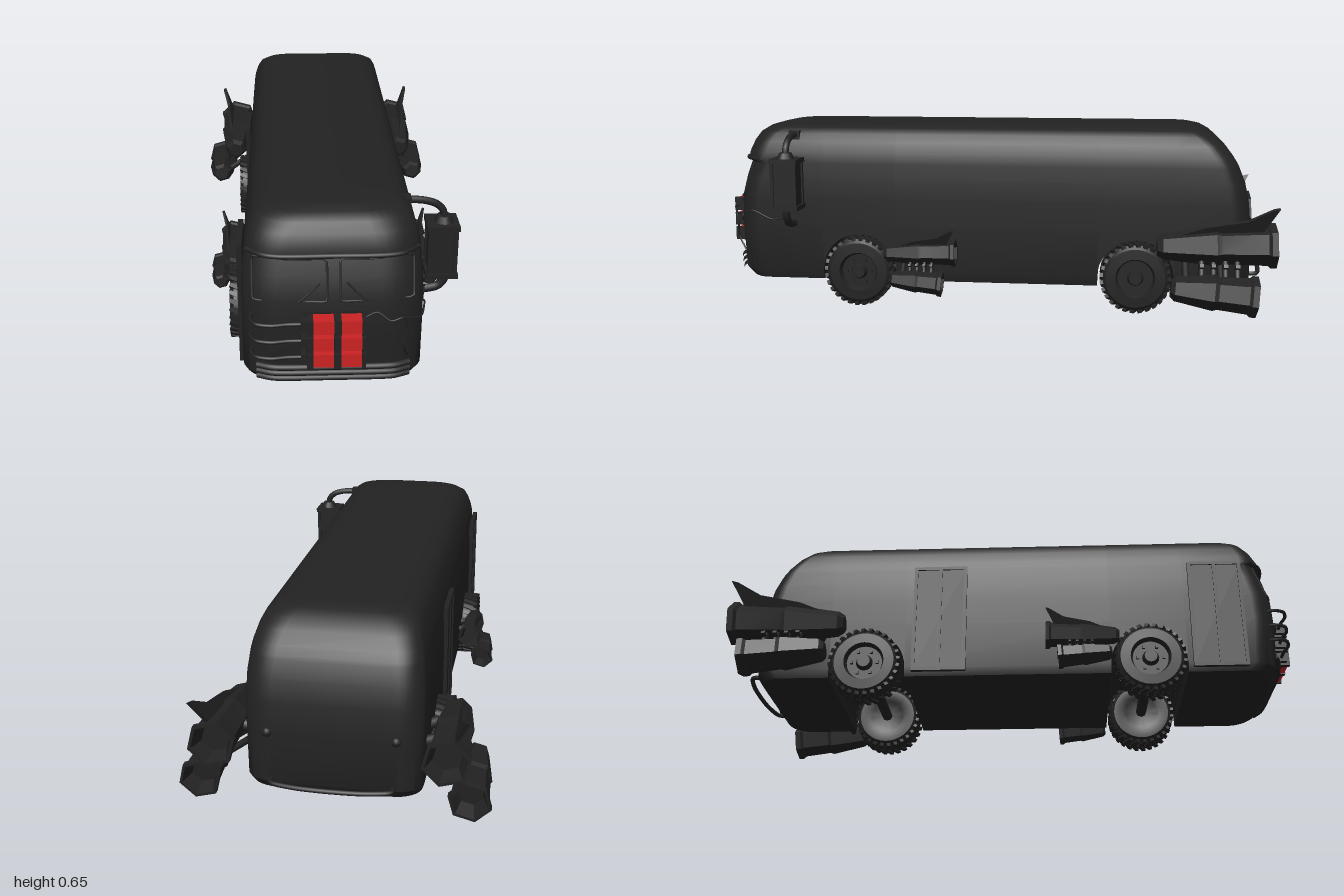
import * as THREE from 'three';
import { toCreasedNormals } from 'three/addons/utils/BufferGeometryUtils.js';

const black = new THREE.MeshStandardMaterial({ color: 0x222222 });
black.name = 'matte black';
const red = new THREE.MeshStandardMaterial({ color: 0xcc2222 });
red.name = 'red';

const V = (x, y, z) => new THREE.Vector3(x, y, z);

function add(parent, name, geo, x = 0, y = 0, z = 0, mat = black) {
  const m = new THREE.Mesh(geo, mat);
  m.name = name;
  m.position.set(x, y, z);
  parent.add(m);
  return m;
}
const box = (w, h, d) => new THREE.BoxGeometry(w, h, d);
function tube(parent, name, pts, r, closed = false, tension = 0.4) {
  const curve = new THREE.CatmullRomCurve3(pts, closed, 'catmullrom', tension);
  return add(parent, name, new THREE.TubeGeometry(curve, pts.length * 6, r, 7, closed));
}
// straight round bar between two points
function bar(parent, name, a, b, r) {
  const g = new THREE.CylinderGeometry(r, r, a.distanceTo(b), 8);
  const m = add(parent, name, g);
  m.position.copy(a).lerp(b, 0.5);
  m.quaternion.setFromUnitVectors(V(0, 1, 0), b.clone().sub(a).normalize());
}

// horizontal body rings: height, half width, front z, back z
const RINGS = [
  [0.10, 0.272, 0.90, -0.915], [0.13, 0.28, 0.925, -0.935], [0.30, 0.28, 0.935, -0.935],
  [0.40, 0.28, 0.93, -0.925], [0.47, 0.277, 0.912, -0.91], [0.525, 0.271, 0.893, -0.888],
  [0.535, 0.27, 0.905, -0.883], [0.56, 0.265, 0.902, -0.868], [0.60, 0.253, 0.885, -0.838],
  [0.63, 0.238, 0.865, -0.805], [0.65, 0.213, 0.835, -0.77], [0.66, 0.175, 0.79, -0.735],
];
const AXLES = [0.467, -0.53], ARCH = 0.134, HUB_Y = 0.135;
const FRX = 0.13, FRZ = 0.09;

// z of the front skin at a point
function frontZ(x, y) {
  let i = 0;
  while (i < RINGS.length - 2 && RINGS[i + 1][0] < y) i++;
  const [a, b] = [RINGS[i], RINGS[i + 1]], t = (y - a[0]) / (b[0] - a[0]);
  const hw = a[1] + (b[1] - a[1]) * t, zf = a[2] + (b[2] - a[2]) * t;
  const k = Math.min(1, Math.max(0, (Math.abs(x) - hw + FRX) / FRX));
  return zf - FRZ + FRZ * Math.sqrt(1 - k * k);
}
const onFront = (x, y, off = 0.002) => V(x, y, frontZ(x, y) + off);

// body shell: stacked rounded rings, lower edge lifted over the wheel arches
function bodyGeometry() {
  const archY = (z) => {
    const d = Math.min(...AXLES.map((c) => Math.abs(z - c)));
    return d <= ARCH + 1e-6 ? HUB_Y + Math.sqrt(Math.max(0, ARCH * ARCH - d * d)) : 0;
  };
  const sideZ = [];
  for (const c of AXLES) {
    sideZ.push(c + ARCH + 0.0005);
    for (let k = 0; k <= 20; k++) sideZ.push(c + ARCH * Math.cos(k * Math.PI / 20));
    sideZ.push(c - ARCH - 0.0005);
  }
  const pos = [], idx = [];
  let m = 0;
  for (const [y, hw, zf, zb] of RINGS) {
    const half = [];
    for (let k = 0; k <= 8; k++) {
      const a = Math.PI / 2 * (1 - k / 8);
      half.push([hw - FRX + FRX * Math.cos(a), zf - FRZ + FRZ * Math.sin(a)]);
    }
    for (const z of sideZ) half.push([hw, z]);
    for (let k = 0; k <= 8; k++) {
      const a = Math.PI / 2 * k / 8;
      half.push([hw - 0.09 + 0.09 * Math.cos(a), zb + 0.069 - 0.069 * Math.sin(a)]);
    }
    const loop = [...half, ...half.map(([x, z]) => [-x, z]).reverse()];
    m = loop.length;
    for (const [x, z] of loop) pos.push(x, Math.max(y, archY(z)), z);
  }
  const last = (RINGS.length - 1) * m;
  for (let j = 0; j < RINGS.length - 1; j++) {
    for (let k = 0; k < m; k++) {
      const a = j * m + k, b = j * m + (k + 1) % m;
      idx.push(a, b, b + m, a, b + m, a + m);
    }
  }
  for (let k = 0; k < m / 2 - 1; k++) {
    const p = k, q = k + 1, n = m - 1 - k, o = m - 2 - k;
    idx.push(n, q, p, n, o, q);
    idx.push(last + n, last + p, last + q, last + n, last + q, last + o);
  }
  const g = new THREE.BufferGeometry();
  g.setAttribute('position', new THREE.Float32BufferAttribute(pos, 3));
  g.setIndex(idx);
  return toCreasedNormals(g, 0.6);
}

function wheel(parent, x, z) {
  const g = new THREE.Group();
  g.name = 'wheel';
  const s = Math.sign(x);
  const prof = [[0.0, -0.05], [0.06, -0.05], [0.07, -0.055], [0.105, -0.053], [0.118, -0.04], [0.119, 0.04],
    [0.105, 0.053], [0.07, 0.055], [0.062, 0.035], [0.0, 0.035]].map(([r, y]) => new THREE.Vector2(r, y));
  add(g, 'tire', toCreasedNormals(new THREE.LatheGeometry(prof, 40).rotateZ(-s * Math.PI / 2), 0.6));
  add(g, 'hub', new THREE.CylinderGeometry(0.022, 0.03, 0.02, 16).rotateZ(-s * Math.PI / 2), s * 0.044);
  for (let k = 0; k < 6; k++) {
    const a = k * Math.PI / 3;
    add(g, 'wheel bolt', box(0.012, 0.01, 0.01), s * 0.038, 0.045 * Math.sin(a), 0.045 * Math.cos(a));
  }
  // chevron tread
  for (let k = 0; k < 28; k++) {
    for (const h of [-1, 1]) {
      const b = box(0.056, 0.012, 0.014).rotateY(h * 0.4).translate(h * 0.026, 0.119, 0);
      add(g, 'tread block', b.rotateX(k * Math.PI / 14));
    }
  }
  g.position.set(x, HUB_Y, z);
  parent.add(g);
}

// hexagonal thruster: rear rim at z = 0, nose at z = len
function thruster(parent, name, r, rNose, len, x, y, z) {
  const prof = [[0, 0.05], [r * 0.6, 0.05], [r * 0.86, 0], [r, 0], [r, 0.02], [r * 0.88, 0.03], [r * 0.8, len * 0.45],
    [r * 0.88, len * 0.5], [rNose, len * 0.95], [rNose * 0.7, len], [0, len]].map((p) => new THREE.Vector2(...p));
  const g = new THREE.LatheGeometry(prof, 6).rotateX(Math.PI / 2).rotateZ(0.25 * Math.sign(x || 1));
  return add(parent, name, toCreasedNormals(g, 0.3), x, y, z);
}

function booster(parent, s, x, y, z, size) {
  const g = new THREE.Group();
  g.name = 'booster';
  thruster(g, 'upper thruster', 0.078, 0.045, 0.4, 0, 0, 0).rotation.x = 0.03;
  thruster(g, 'lower thruster', 0.07, 0.042, 0.29, s * 0.068, -0.165, 0.065).rotation.x = -0.08;
  // swept fin
  const fin = new THREE.Shape([[0.34, 0.03], [0.05, 0.05], [0.0, 0.15], [0.02, 0.145], [0.1, 0.098], [0.24, 0.07]]
    .map((p) => new THREE.Vector2(...p)));
  const fg = new THREE.ExtrudeGeometry(fin, { depth: 0.012, bevelEnabled: false });
  add(g, 'fin', fg.translate(0, 0, -0.006).rotateY(-Math.PI / 2).rotateZ(-s * 0.42));
  // struts between the thrusters, and mounts to the body
  for (let k = 0; k < 4; k++) {
    const zz = 0.13 + k * 0.04;
    bar(g, 'strut', V(s * 0.01, -0.03, zz), V(s * 0.065, -0.15, zz), 0.011);
    add(g, 'cooling rib', box(0.05, 0.012, 0.014), s * 0.035, -0.075, zz).rotation.z = s * 0.5;
  }
  for (const zz of [0.18, 0.3]) {
    bar(g, 'mount', V(0, 0, zz), V(-s * 0.09, -0.03, zz), 0.02);
    bar(g, 'lower mount', V(s * 0.06, -0.16, zz), V(-s * 0.08, -0.06, zz), 0.012);
  }
  g.scale.setScalar(size);
  g.position.set(s * x, y, z);
  parent.add(g);
}

export function createModel() {
  const bus = new THREE.Group();
  bus.name = 'armoured bus';
  add(bus, 'body', bodyGeometry());

  for (const z of AXLES) {
    wheel(bus, -0.282, z);
    wheel(bus, 0.248, z);
    bar(bus, 'axle', V(-0.27, HUB_Y, z), V(0.24, HUB_Y, z), 0.02);
  }
  for (const s of [-1, 1]) {
    booster(bus, s, 0.358, 0.278, -1, 1);
    booster(bus, s, 0.335, 0.222, 0.105, 0.64);
    // windscreen frame, wiper, headlight and tail light
    const cx = s * 0.132, c = [[-0.112, 0.41], [-0.1, 0.398], [0.1, 0.398], [0.112, 0.41], [0.112, 0.515],
      [0.1, 0.524], [0, 0.524], [-0.1, 0.524], [-0.112, 0.515]];
    tube(bus, 'windscreen frame', c.map(([x, y]) => onFront(cx + x, y)), 0.004, true, 0.2);
    tube(bus, 'wiper', [onFront(s * 0.105, 0.398), onFront(s * 0.07, 0.425), onFront(s * 0.04, 0.455)], 0.003);
    add(bus, 'headlight', new THREE.CylinderGeometry(0.018, 0.02, 0.012, 20).rotateX(Math.PI / 2),
      s * 0.17, 0.312, frontZ(0.17, 0.312));
    add(bus, 'tail light', new THREE.SphereGeometry(0.016, 12, 8), s * 0.2, 0.3, -0.93);
  }

  // visor ridge and slatted front bumper
  const across = (w, y, off) => [-1, -0.8, -0.55, 0, 0.55, 0.8, 1].map((t) => onFront(t * w, y, off));
  tube(bus, 'visor', across(0.262, 0.538, 0.001), 0.008);
  for (const y of [0.128, 0.148, 0.168]) tube(bus, 'bumper slat', across(0.235, y, 0.006), 0.0105);
  // rear bar
  tube(bus, 'rear bar', [V(-0.19, 0.14, -0.92), V(-0.185, 0.14, -0.96), V(-0.1, 0.14, -0.978), V(0, 0.14, -0.982),
    V(0.1, 0.14, -0.978), V(0.185, 0.14, -0.96), V(0.19, 0.14, -0.92)], 0.008);

  // doors on the right side
  for (const z of [-0.275, 0.715]) {
    const door = new THREE.Group();
    door.name = 'door';
    add(door, 'door panel', box(0.012, 0.41, 0.19), -0.282, 0.32, z);
    for (const d of [-0.09, 0, 0.09]) add(door, 'door rail', box(0.012, 0.41, 0.012), -0.287, 0.32, z + d);
    for (const y of [0.12, 0.52]) add(door, 'door rail', box(0.012, 0.012, 0.19), -0.287, y, z);
    bus.add(door);
  }

  // red canister pack with feed pipes
  const pack = new THREE.Group();
  pack.name = 'canister pack';
  add(pack, 'back plate', box(0.19, 0.175, 0.02), 0.002, 0.284, 0.935);
  for (const y of [0.342, 0.284, 0.227]) {
    for (const x of [-0.032, 0.052]) add(pack, 'canister', box(0.062, 0.044, 0.05), x, y, 0.967, red);
    add(pack, 'centre band', box(0.022, 0.05, 0.056), 0.01, y, 0.968);
    add(pack, 'end cap', box(0.012, 0.05, 0.058), 0.089, y, 0.969);
    add(pack, 'end cap', box(0.02, 0.05, 0.058), -0.073, y, 0.969);
    add(pack, 'pipe collar', box(0.02, 0.034, 0.036), -0.09, y, 0.966);
    tube(pack, 'feed pipe', [V(-0.24, y, 0.885), V(-0.253, y, 0.925), V(-0.235, y, 0.96), V(-0.19, y, 0.972),
      V(-0.14, y, 0.966), V(-0.09, y, 0.966)], 0.006);
  }
  bus.add(pack);

  // loose cables
  tube(bus, 'cable', [V(0.09, 0.36, 0.965), onFront(0.13, 0.37, 0.02), onFront(0.17, 0.345, 0.03), onFront(0.21, 0.35, 0.03),
    onFront(0.225, 0.3, 0.02), onFront(0.215, 0.24, 0.02), onFront(0.23, 0.19, 0)], 0.003);
  tube(bus, 'cable', [onFront(0.21, 0.35, 0.03), V(0.265, 0.335, 0.92), V(0.283, 0.35, 0.86), V(0.287, 0.32, 0.79),
    V(0.3, 0.33, 0.72)], 0.003);

  // air filter with intake and outlet pipes
  const filter = new THREE.Group();
  filter.name = 'air filter';
  add(filter, 'filter box', box(0.082, 0.17, 0.082), 0.35, 0.46, 0.708);
  for (const y of [0.378, 0.544]) add(filter, 'filter lid', box(0.102, 0.016, 0.102), 0.35, y, 0.708);
  add(filter, 'filter cap', new THREE.CylinderGeometry(0.022, 0.032, 0.022, 12), 0.355, 0.562, 0.708);
  for (const dx of [-1, 1]) for (const dz of [-1, 1]) {
    add(filter, 'filter rail', box(0.012, 0.16, 0.012), 0.35 + dx * 0.041, 0.46, 0.708 + dz * 0.041);
  }
  tube(filter, 'intake pipe', [V(0.2, 0.628, 0.708), V(0.28, 0.625, 0.708), V(0.325, 0.613, 0.708), V(0.35, 0.59, 0.708),
    V(0.357, 0.56, 0.708)], 0.012);
  add(filter, 'pipe collar', box(0.022, 0.036, 0.04), 0.238, 0.622, 0.708);
  tube(filter, 'outlet pipe', [V(0.37, 0.38, 0.708), V(0.365, 0.345, 0.708), V(0.34, 0.318, 0.708), V(0.27, 0.305, 0.708)], 0.014);
  bus.add(filter);
  return bus;
}
